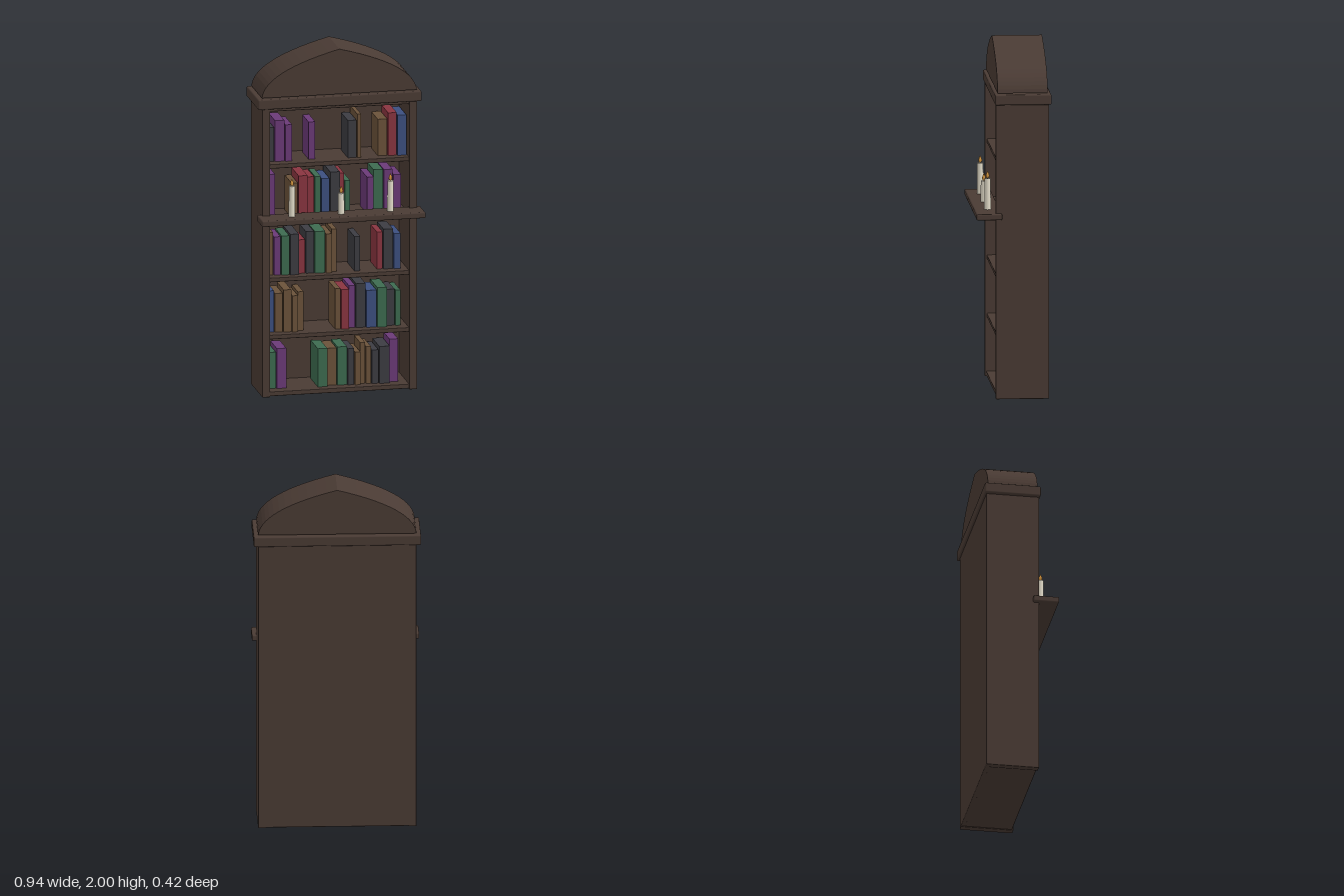
import * as THREE from 'three';
import { RoundedBoxGeometry } from 'three/addons/geometries/RoundedBoxGeometry.js';

const mat = (color, extra = {}) => new THREE.MeshStandardMaterial({ color, ...extra });
const wood = mat(0x4a3b34);
const wax = mat(0xe6dfcc);
const wick = mat(0x2a2420);
const flameMat = mat(0xd9983f);
const covers = {
  purple: mat(0x6b3a78), green: mat(0x3d6b50), blue: mat(0x3c4f80),
  red: mat(0x8a3540), brown: mat(0x6b523a), dark: mat(0x3c3c42),
};

function add(parent, name, geometry, material, x = 0, y = 0, z = 0) {
  const mesh = new THREE.Mesh(geometry, material);
  mesh.name = name;
  mesh.position.set(x, y, z);
  parent.add(mesh);
  return mesh;
}

// Softly rounded board given by its min and max corners
function board(parent, name, [x0, y0, z0], [x1, y1, z1], r = 0.005) {
  const g = new RoundedBoxGeometry(x1 - x0, y1 - y0, z1 - z0, 2, r);
  return add(parent, name, g, wood, (x0 + x1) / 2, (y0 + y1) / 2, (z0 + z1) / 2);
}

// Books from left to right: [cover, width, height] in thousandths; 'gap' leaves a space
function bookRow(parent, name, base, books) {
  const row = new THREE.Group();
  row.name = name;
  let x = -0.401;
  books.forEach(([cover, w, h], i) => {
    const width = w / 1000;
    if (cover !== 'gap') {
      const height = h / 1000;
      const depth = 0.165 + 0.008 * ((i * 5) % 4);
      add(row, cover + 'Book', new THREE.BoxGeometry(width - 0.004, height, depth), covers[cover],
        x + width / 2, base + height / 2, -0.145 + depth / 2);
    }
    x += width;
  });
  parent.add(row);
}

function candle(parent, x, height) {
  const g = new THREE.Group();
  g.name = 'candle';
  g.position.set(x, 1.055, 0.135);
  add(g, 'candleStick', new THREE.CylinderGeometry(0.017, 0.019, height, 16), wax, 0, height / 2);
  add(g, 'wick', new THREE.CylinderGeometry(0.002, 0.002, 0.014, 6), wick, 0, height + 0.004);
  // Teardrop flame
  const profile = [[0, 0], [0.007, 0.005], [0.0105, 0.014], [0.008, 0.026], [0.004, 0.036], [0, 0.044]]
    .map(([r, y]) => new THREE.Vector2(r, y));
  add(g, 'flame', new THREE.LatheGeometry(profile, 12), flameMat, 0, height - 0.001);
  parent.add(g);
}

export function createModel() {
  const model = new THREE.Group();
  model.name = 'bookcase';

  // Carcass
  for (const s of [-1, 1]) {
    const [a, b] = s < 0 ? [-0.445, -0.4] : [0.4, 0.445];
    board(model, s < 0 ? 'rightSide' : 'leftSide', [a, 0, -0.2], [b, 1.685, 0.1]);
  }
  board(model, 'backPanel', [-0.442, 0.003, -0.2], [0.442, 1.685, -0.175]);
  board(model, 'bottomBoard', [-0.41, 0.004, -0.19], [0.41, 0.03, 0.092]);
  board(model, 'topBoard', [-0.41, 1.658, -0.19], [0.41, 1.685, 0.092]);
  for (const top of [0.358, 0.69, 1.02, 1.35]) {
    board(model, 'shelf', [-0.41, top - 0.025, -0.19], [0.41, top, 0.088]);
  }

  // Cornice and candle ledge
  board(model, 'cornice', [-0.47, 1.674, -0.212], [0.47, 1.733, 0.106], 0.008);
  board(model, 'candleLedge', [-0.47, 1.021, 0.065], [0.47, 1.056, 0.21], 0.008);

  // Pointed arch pediment
  const arch = new THREE.Shape();
  arch.moveTo(-0.445, 1.739);
  arch.lineTo(0.445, 1.739);
  arch.quadraticCurveTo(0.43, 1.89, 0, 2);
  arch.quadraticCurveTo(-0.43, 1.89, -0.445, 1.739);
  add(model, 'archedPediment',
    new THREE.ExtrudeGeometry(arch, { depth: 0.282, bevelEnabled: false, curveSegments: 14 }),
    wood, 0, 0, -0.192);

  // Books, bottom shelf to top shelf
  bookRow(model, 'firstRow', 0.03, [
    ['green', 53, 210], ['purple', 58, 232], ['gap', 174], ['green', 58, 222], ['brown', 58, 215],
    ['green', 58, 222], ['dark', 40, 210], ['brown', 34, 190], ['brown', 32, 238],
    ['brown', 32, 215], ['dark', 42, 195], ['dark', 63, 215], ['purple', 53, 248]]);
  bookRow(model, 'secondRow', 0.358, [
    ['blue', 42, 240], ['brown', 48, 225], ['brown', 48, 245], ['brown', 37, 210],
    ['brown', 37, 225], ['gap', 174], ['brown', 34, 235], ['red', 48, 230], ['purple', 40, 245],
    ['dark', 58, 255], ['blue', 61, 215], ['green', 58, 230], ['dark', 50, 210], ['green', 32, 205]]);
  bookRow(model, 'thirdRow', 0.69, [
    ['brown', 37, 247], ['purple', 42, 222], ['green', 48, 227], ['dark', 53, 236], ['red', 40, 195],
    ['dark', 50, 242], ['green', 63, 242], ['brown', 37, 227], ['brown', 32, 247], ['gap', 95],
    ['dark', 37, 200], ['gap', 95], ['red', 37, 215], ['dark', 58, 231], ['blue', 42, 205]]);
  bookRow(model, 'fourthRow', 1.02, [
    ['purple', 48, 255], ['gap', 87], ['brown', 40, 202], ['red', 55, 243], ['red', 42, 228],
    ['green', 37, 230], ['blue', 48, 218], ['dark', 58, 255], ['red', 29, 240], ['green', 34, 196],
    ['gap', 90], ['purple', 42, 213], ['green', 58, 248], ['purple', 53, 248], ['purple', 48, 218]]);
  bookRow(model, 'fifthRow', 1.35, [
    ['dark', 42, 197], ['purple', 58, 238], ['purple', 42, 212], ['gap', 95], ['purple', 42, 217],
    ['gap', 180], ['dark', 53, 217], ['brown', 26, 253], ['gap', 95], ['brown', 58, 212],
    ['red', 53, 248], ['blue', 53, 234]]);

  // Candles on the ledge
  candle(model, -0.283, 0.177);
  candle(model, 0, 0.12);
  candle(model, 0.283, 0.177);

  return model;
}
